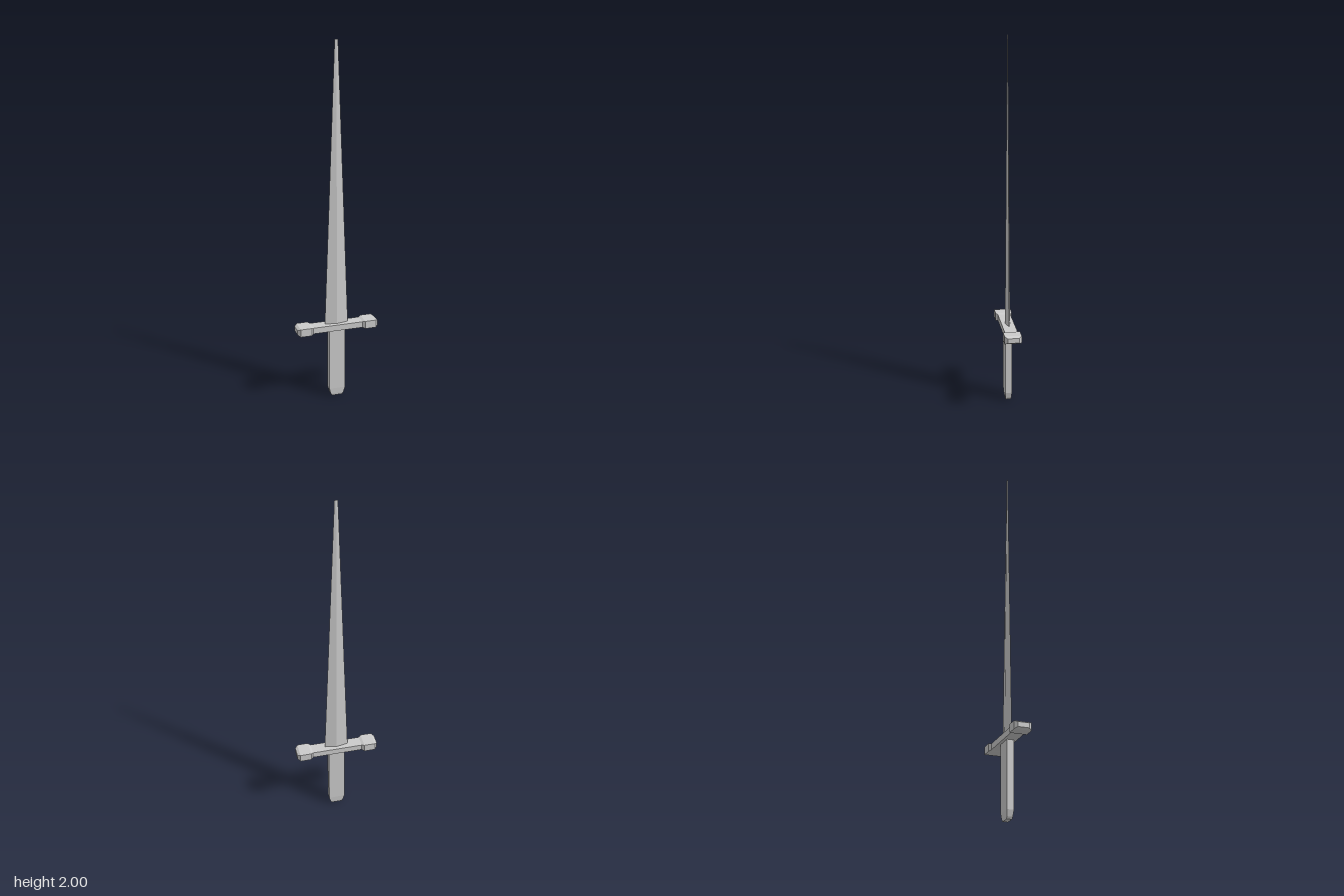
import * as THREE from 'three';

// Closed flat-shaded solid through rings of points (each ring counter-clockwise seen from its far end)
function loft(rings) {
  const pos = [];
  const tri = (a, b, c) => pos.push(...a, ...b, ...c);
  const n = rings[0].length;
  for (let r = 0; r < rings.length - 1; r++) {
    const a = rings[r], b = rings[r + 1];
    for (let i = 0; i < n; i++) {
      const j = (i + 1) % n;
      tri(a[i], a[j], b[j]);
      tri(a[i], b[j], b[i]);
    }
  }
  const first = rings[0], last = rings[rings.length - 1];
  for (let i = 1; i < n - 1; i++) {
    tri(first[0], first[i + 1], first[i]);
    tri(last[0], last[i], last[i + 1]);
  }
  const geo = new THREE.BufferGeometry();
  geo.setAttribute('position', new THREE.Float32BufferAttribute(pos, 3));
  geo.computeVertexNormals();
  return geo;
}

// Horizontal cross-sections at height y, half sizes w (x) and d (z)
const diamond = ([y, w, d]) => [[w, y, 0], [0, y, -d], [-w, y, 0], [0, y, d]];
const rectangle = ([y, w, d]) => [[w, y, d], [w, y, -d], [-w, y, -d], [-w, y, d]];

export function createModel() {
  const group = new THREE.Group();
  const material = new THREE.MeshStandardMaterial({ color: 0xcccccc, flatShading: true });
  const add = (name, geo) => {
    const mesh = new THREE.Mesh(geo, material);
    mesh.name = name;
    group.add(mesh);
  };

  // Blade: long taper with a central ridge and a blunt tip
  add('blade', loft([[0.42, 0.067, 0.014], [2, 0.009, 0.002]].map(diamond)));

  // Crossguard: slim bar swelling into bevelled blocks, mirrored left to right
  const guardY = 0.423;
  const half = [[0.142, 0.017, 0.035], [0.155, 0.022, 0.046], [0.217, 0.022, 0.046], [0.232, 0.013, 0.031]];
  const stations = [...half.map(([x, h, d]) => [-x, h, d]).reverse(), ...half];
  add('crossguard', loft(stations.map(([x, h, d]) => [
    [x, guardY + h, d], [x, guardY - h, d], [x, guardY - h, -d], [x, guardY + h, -d],
  ])));

  // Grip: flat bar with a rounded-off butt
  add('grip', loft([
    [0, 0.03, 0.014], [0.012, 0.037, 0.016], [0.045, 0.046, 0.0185], [0.415, 0.046, 0.0185],
  ].map(rectangle)));

  return group;
}
